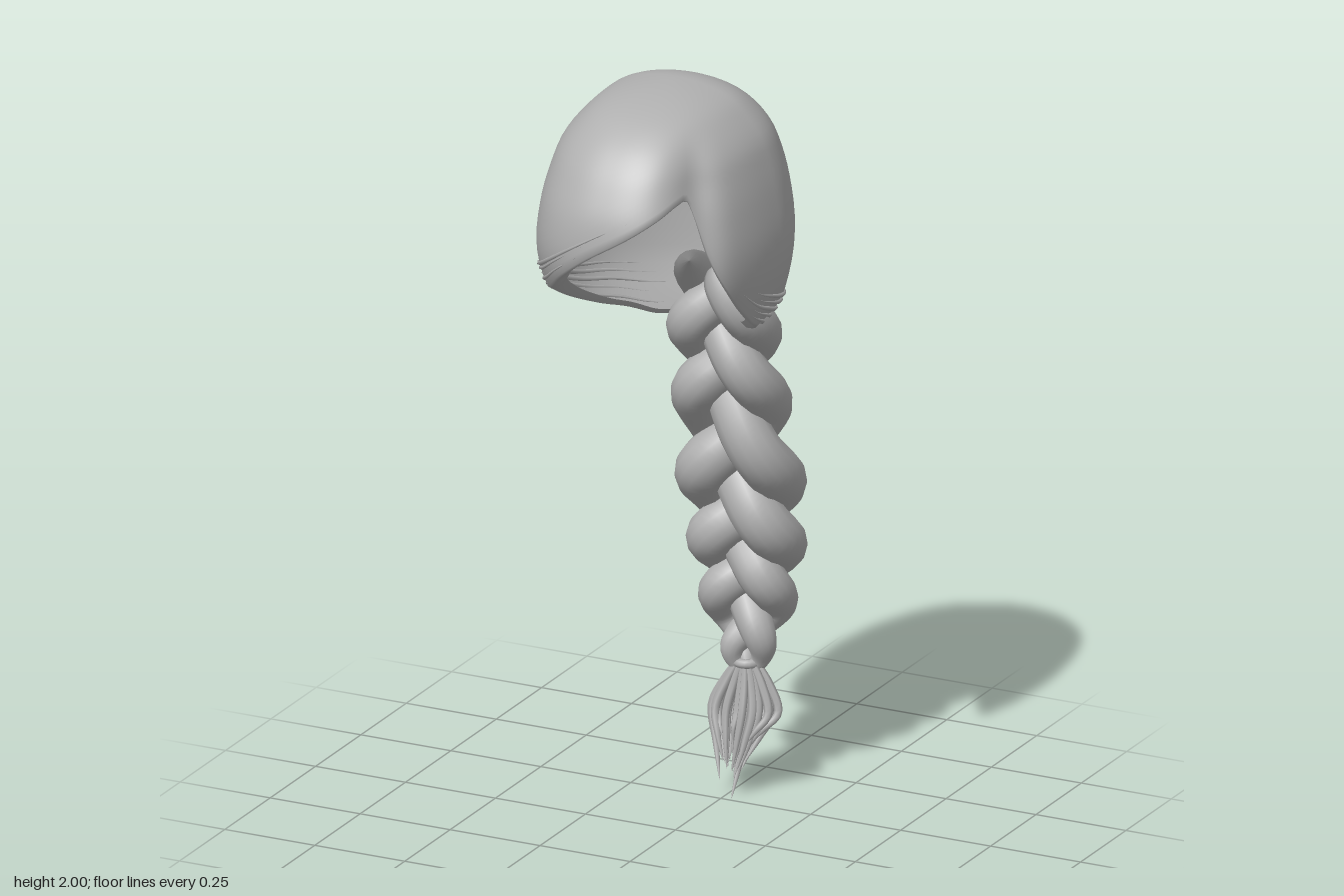
import * as THREE from 'three';

const hair = new THREE.MeshStandardMaterial({ color: 0xb0b0b0, side: THREE.DoubleSide });
hair.name = 'hair grey';

// Smooth lookup through a few key values, clamped at both ends
function lookup(keys, values) {
  const f = new THREE.CubicInterpolant(keys, values, 1, new Float32Array(1));
  return (x) => f.evaluate(Math.min(Math.max(x, keys[0]), keys[keys.length - 1] - 1e-5))[0];
}

// Cap outline against the square root of the depth below the crown
const depthKeys = [0, .17, .27, .36, .42, .52, .63, .71, .78, .84];
const sideReach = lookup(depthKeys, [0, .145, .2, .242, .258, .28, .293, .28, .24, .13]);
const frontReach = lookup(depthKeys, [0, .22, .305, .362, .392, .43, .43, .375, .3, .2]);
const backReach = lookup(depthKeys, [0, .115, .187, .237, .266, .297, .312, .311, .306, .295]);

// Hem height around the head: 0 degrees is the front, 90 the left side
const hem = lookup(
  [-180, -140, -115, -90, -70, -45, -28, -16, -3, 9, 20, 28, 32, 35, 41, 53, 70, 90, 115, 140, 180],
  [1.29, 1.31, 1.34, 1.37, 1.41, 1.48, 1.53, 1.59, 1.66, 1.715, 1.765, 1.795, 1.795, 1.75, 1.64, 1.52, 1.43, 1.38,
    1.34, 1.315, 1.29]);

// Point on the cap: u runs from the crown (0) to the hem (1)
function capPoint(deg, u, scale = 1, lift = 0) {
  const a = THREE.MathUtils.degToRad(deg);
  const d = Math.sqrt(2 - hem(deg)) * u;
  const sx = Math.abs(Math.sin(a)), cz = Math.cos(a);
  const power = cz > 0 ? 2.4 : 2;
  const depth = cz > 0 ? frontReach(d) : backReach(d);
  const w = Math.max(sideReach(d), 1e-5), l = Math.max(depth, 1e-5);
  let r = Math.pow(Math.pow(sx / w, power) + Math.pow(Math.abs(cz) / l, power), -1 / power);
  r *= 1 - .09 * Math.exp(-(((deg - 35) / 9) ** 2)) * THREE.MathUtils.smoothstep(d, .2, .45);
  r *= scale;
  return new THREE.Vector3(r * Math.sin(a), 2 - d * d + lift, r * cz);
}

// Swept cap with a lip rolled under along the hem
function capGeometry() {
  const cols = 180, rows = 28;
  const lip = [[.975, -.006], [.92, -.004], [.85, .012]];
  const pos = [], index = [];
  const total = rows + 1 + lip.length;
  for (let j = 0; j < total; j++) {
    for (let i = 0; i < cols; i++) {
      const deg = -180 + 360 * i / cols;
      const p = j <= rows ? capPoint(deg, j / rows) : capPoint(deg, 1, ...lip[j - rows - 1]);
      pos.push(p.x, p.y, p.z);
    }
  }
  for (let j = 0; j < total - 1; j++) {
    for (let i = 0; i < cols; i++) {
      const a = j * cols + i, b = j * cols + (i + 1) % cols;
      if (j === 0) index.push(0, a + cols, b + cols);
      else index.push(a, a + cols, b, b, a + cols, b + cols);
    }
  }
  const g = new THREE.BufferGeometry();
  g.setAttribute('position', new THREE.Float32BufferAttribute(pos, 3));
  g.setIndex(index);
  g.computeVertexNormals();
  return g;
}

// Tube whose thickness follows radiusAt(t)
function taperedTube(points, radiusAt, segments, sides) {
  const curve = new THREE.CatmullRomCurve3(points);
  const g = new THREE.TubeGeometry(curve, segments, 1, sides);
  const p = g.attributes.position, v = new THREE.Vector3();
  for (let i = 0; i <= segments; i++) {
    const c = curve.getPointAt(i / segments), r = radiusAt(i / segments);
    for (let k = 0; k <= sides; k++) {
      const n = i * (sides + 1) + k;
      v.fromBufferAttribute(p, n).sub(c).multiplyScalar(r).add(c);
      p.setXYZ(n, v.x, v.y, v.z);
    }
  }
  return g;
}

let seed = 7;
function rand() {
  seed = (seed * 16807) % 2147483647;
  return seed / 2147483647;
}

export function createModel() {
  const model = new THREE.Group();
  const add = (name, geometry, parent = model) => {
    const m = new THREE.Mesh(geometry, hair);
    m.name = name;
    parent.add(m);
    return m;
  };

  add('hairCap', capGeometry());

  // Fine locks combed from the parting to the nape on both sides
  const locks = new THREE.Group();
  locks.name = 'combedLocks';
  model.add(locks);
  for (const [from, to] of [[10, -170], [45, 170]]) {
    for (let n = 0; n < 5; n++) {
      const u0 = .93 + n * .015, pts = [];
      const start = from + (to - from) * rand() * .3;
      const end = to - (to - from) * rand() * .2;
      for (let k = 0; k <= 14; k++) pts.push(capPoint(start + (end - start) * k / 14, u0));
      add('combedLock', taperedTube(pts, (t) => .0005 + .006 * Math.sin(Math.PI * t), 40, 5), locks);
    }
  }

  // Three-strand braid, its turns counted by the lobes on the left edge
  const braid = new THREE.Group();
  braid.name = 'braid';
  model.add(braid);
  const centreZ = lookup([.33, .42, .55, .7, .9, 1.1, 1.3, 1.45], [-.345, -.35, -.35, -.338, -.298, -.253, -.212, -.18]);
  const fullness = lookup([.33, .42, .55, .7, .9, 1.1, 1.3, 1.45], [.3, .7, .88, 1.05, 1.1, 1, .95, .8]);
  const lobes = lookup([.33, .53, .68, .87, 1.1, 1.29, 1.45], [5.2, 4, 3, 2, 1, 0, -.85]);
  const top = 1.45, bottom = .335, skew = .24;
  for (let s = 0; s < 3; s++) {
    const pts = [];
    for (let k = 0; k <= 60; k++) {
      const y = top + (bottom - top) * k / 60;
      const turn = Math.PI / 2 + skew + (lobes(y) + s) * Math.PI * 2 / 3;
      const a = turn - skew * Math.sin(turn);
      const f = fullness(y);
      pts.push(new THREE.Vector3(.025 + .088 * f * Math.sin(a), y, centreZ(y) + .042 * f * Math.sin(2 * a)));
    }
    const radius = (t) => {
      const round = t < .04 ? Math.sqrt(Math.max(0, 1 - (1 - t / .04) ** 2)) : 1;
      return .001 + .062 * round * fullness(top + (bottom - top) * t);
    };
    add('braidStrand', taperedTube(pts, radius, 130, 14), braid);
  }

  // Tie around the end of the braid
  const tie = add('braidTie', new THREE.TorusGeometry(.026, .012, 8, 20));
  tie.rotation.x = Math.PI / 2;
  tie.position.set(.025, .34, -.345);

  // Loose brush of tapering wisps below the tie
  const tail = new THREE.Group();
  tail.name = 'tailBrush';
  model.add(tail);
  for (let n = 0; n < 36; n++) {
    const a = n * 2.4, spread = Math.sqrt((n + .5) / 36);
    const x = Math.cos(a) * spread, z = Math.sin(a) * spread;
    const tip = n === 0 ? .003 : .04 + rand() * .11;
    const lean = (.34 - tip) / .34;
    add('tailWisp', taperedTube([
      new THREE.Vector3(.025 + x * .018, .35, -.345 + z * .018),
      new THREE.Vector3(.025 + x * .062, .29, -.342 + z * .033),
      new THREE.Vector3(.024 + x * .094, .22, -.333 + z * .047),
      new THREE.Vector3(.022 + x * .068, (.22 + tip) / 2, -.308 + z * .037),
      new THREE.Vector3(.02 + x * .035, tip, -.345 + .085 * lean + z * .02),
    ], (t) => .0006 + .011 * Math.pow(Math.sin(Math.PI * Math.min(1, .2 + t * .8)), .8), 18, 6), tail);
  }

  return model;
}
